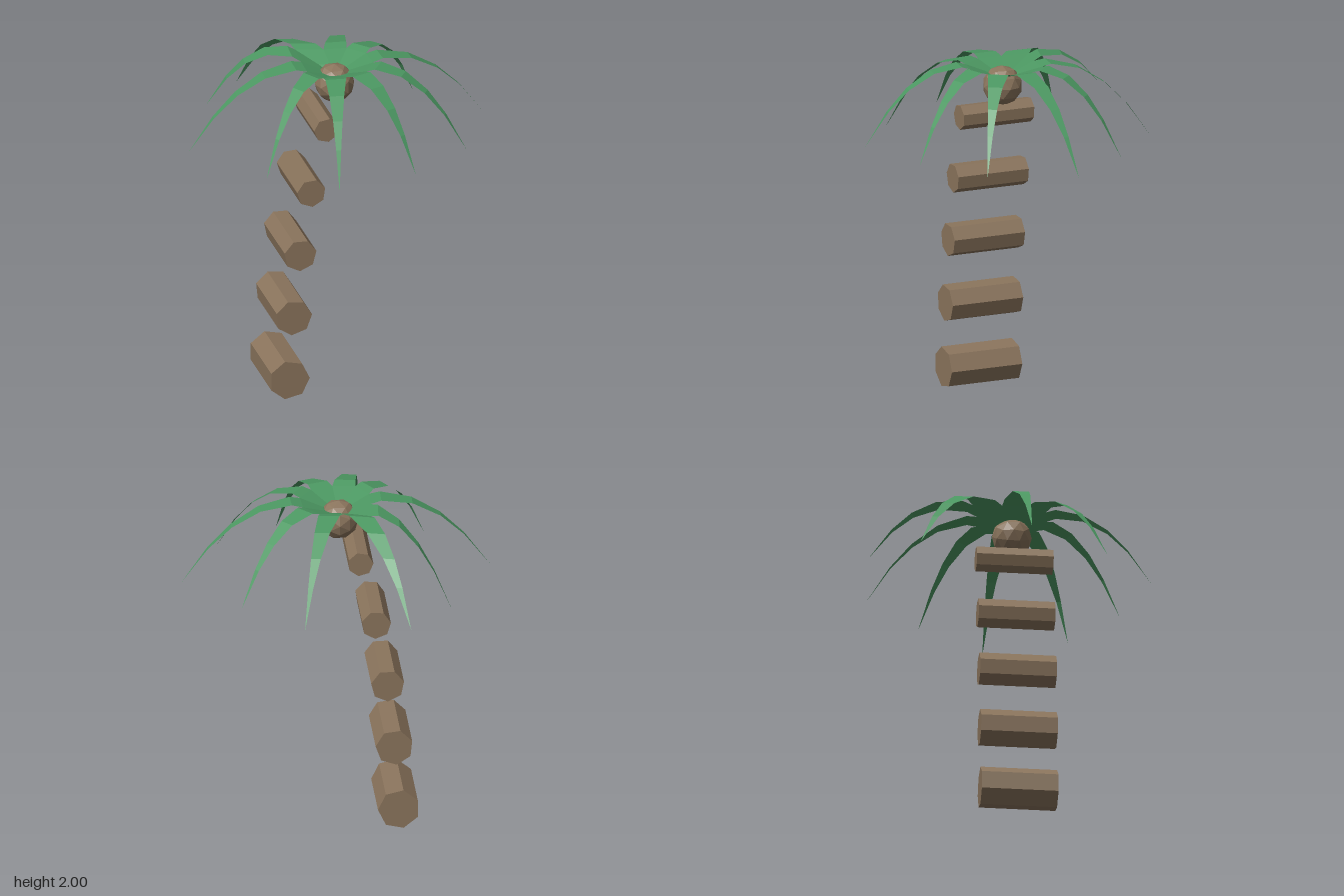
import * as THREE from 'three';

export function createModel() {
  const model = new THREE.Group();
  model.name = 'palmTree';

  const bark = new THREE.MeshStandardMaterial({ color: 0x8a745c, flatShading: true });
  bark.name = 'barkBrown';
  const green = new THREE.MeshStandardMaterial({ color: 0x4c9862, flatShading: true, side: THREE.DoubleSide });
  green.name = 'leafGreen';

  // Trunk: seven-sided logs lying along z, shrinking, leaning and twisting upward
  const trunk = new THREE.Group();
  trunk.name = 'trunk';
  const logs = [[-0.348, 0.119], [-0.322, 0.509], [-0.283, 0.898], [-0.217, 1.284], [-0.127, 1.671]];
  logs.forEach(([x, y], i) => {
    const r = 0.121 - i * 0.0118;
    const geo = new THREE.CylinderGeometry(r, r, 0.444, 7);
    geo.rotateY(-Math.PI / 2).rotateX(Math.PI / 2); // one corner on the x axis
    geo.computeBoundingBox();
    // turn so that the corner points to +x before adding the twist
    if (geo.boundingBox.max.x < -geo.boundingBox.min.x) geo.rotateZ(Math.PI);
    geo.rotateZ(i * 0.1);
    const log = new THREE.Mesh(geo, bark);
    log.name = 'trunkLog' + (i + 1);
    log.position.set(x, y, 0.037);
    trunk.add(log);
  });
  model.add(trunk);

  // Coconut poking through the middle of the crown
  const coconut = new THREE.Mesh(new THREE.IcosahedronGeometry(0.116, 1), bark);
  coconut.name = 'coconut';
  coconut.position.set(-0.018, 1.866, 0.035);
  model.add(coconut);

  // Crown: leaf tips and the notches that follow each of them, as [x, z]
  const tips = [[-0.363, -0.832], [0.248, -0.785], [0.584, -0.443], [0.897, -0.038], [0.661, 0.433],
    [0.286, 0.694], [-0.204, 0.82], [-0.56, 0.53], [-0.9, 0.058], [-0.622, -0.558]];
  const notches = [[-0.027, -0.168], [0.108, -0.154], [0.195, -0.053], [0.2, 0.082], [0.127, 0.192],
    [0, 0.236], [-0.132, 0.221], [-0.2, 0.106], [-0.197, -0.04], [-0.185, -0.21]];
  const n = tips.length;
  const centre = [-0.015, 0.025];
  const rimY = 1.985;
  const at = (a, b, s, y) => [a[0] + (b[0] - a[0]) * s, y, a[1] + (b[1] - a[1]) * s];

  function facets(name, triangles) {
    const geo = new THREE.BufferGeometry();
    geo.setAttribute('position', new THREE.Float32BufferAttribute(triangles.flat(2), 3));
    geo.computeVertexNormals();
    const mesh = new THREE.Mesh(geo, green);
    mesh.name = name;
    return mesh;
  }
  const quad = (a, b, c, d) => [[a, b, c], [a, c, d]];

  // Drooping leaves: [share of the way to the tip, height]
  const droop = [[0, rimY], [0.09, 2], [0.35, 1.965], [0.585, 1.87], [0.78, 1.74], [1, 1.533]];
  const crown = new THREE.Group();
  crown.name = 'crown';
  const dish = [];
  for (let i = 0; i < n; i++) {
    const from = notches[(i + n - 1) % n], to = notches[i];
    const leaf = [];
    for (let k = 0; k < droop.length - 1; k++) {
      const [s0, y0] = droop[k], [s1, y1] = droop[k + 1];
      const a = at(from, tips[i], s0, y0), b = at(to, tips[i], s0, y0);
      const c = at(to, tips[i], s1, y1), d = at(from, tips[i], s1, y1);
      leaf.push(...(s1 === 1 ? [[a, b, c]] : quad(a, b, c, d)));
    }
    crown.add(facets('leaf' + (i + 1), leaf));

    // Sunken dish joining the leaf bases
    const innerA = at(centre, from, 0.4, 1.94), innerB = at(centre, to, 0.4, 1.94);
    dish.push([[centre[0], 1.9, centre[1]], innerB, innerA]);
    dish.push(...quad(innerA, innerB, at(to, to, 0, rimY), at(from, from, 0, rimY)));
  }
  crown.add(facets('crownDish', dish));
  model.add(crown);

  return model;
}
